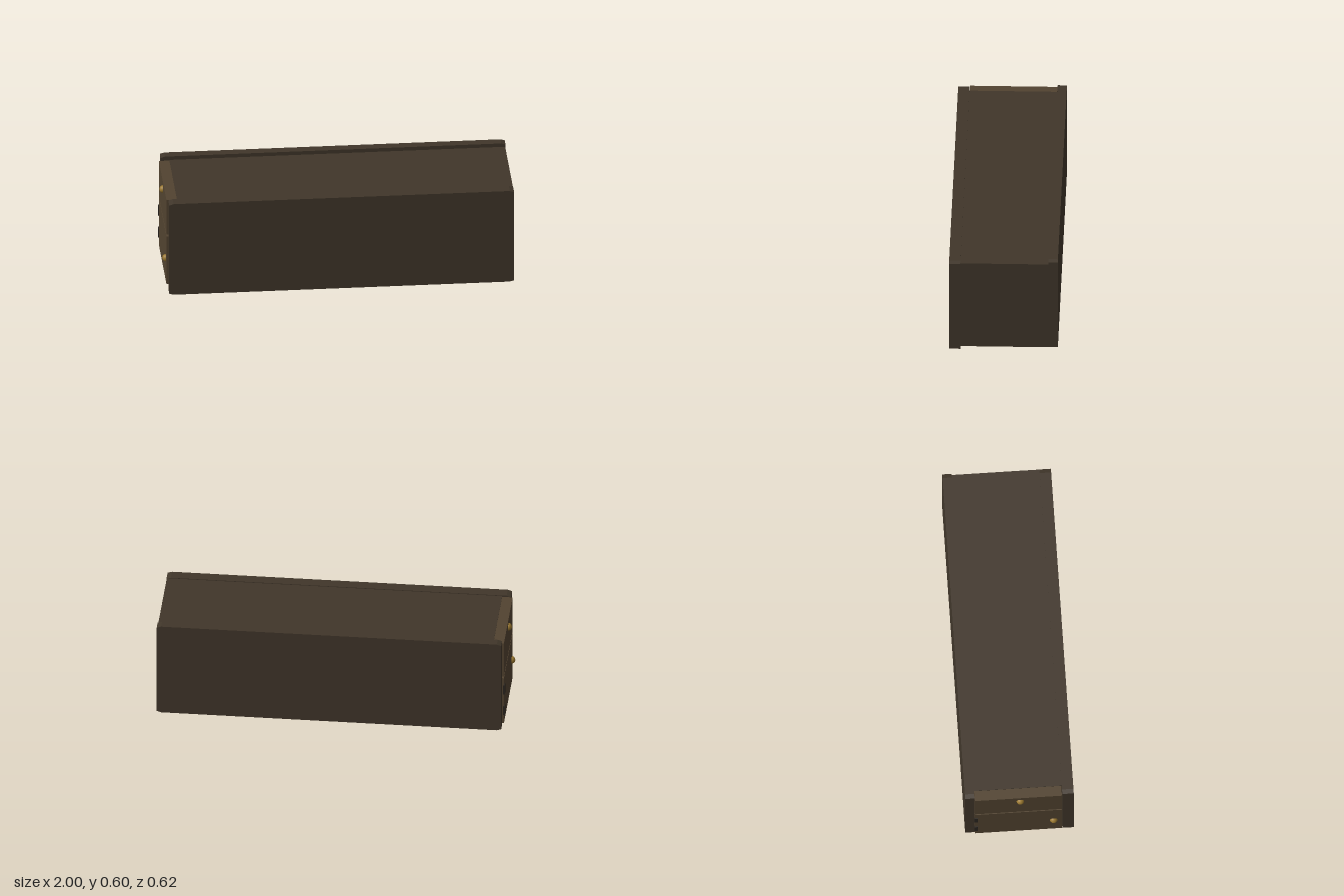
import * as THREE from 'three';

const mat = (color) => new THREE.MeshStandardMaterial({ color });

export function createModel() {
  const root = new THREE.Group();
  root.name = 'cabinet';
  const wood = mat(0x40362a), lightWood = mat(0x524330), brass = mat(0x9a7830), iron = mat(0x2a2520);

  const add = (name, geometry, material) => {
    const mesh = new THREE.Mesh(geometry, material);
    mesh.name = name;
    root.add(mesh);
    return mesh;
  };
  // Box given by its minimum and maximum corners
  const box = (name, material, [x0, y0, z0], [x1, y1, z1]) => {
    add(name, new THREE.BoxGeometry(x1 - x0, y1 - y0, z1 - z0), material)
      .position.set((x0 + x1) / 2, (y0 + y1) / 2, (z0 + z1) / 2);
  };
  // Long panel with clipped corners
  const panel = (name, y0, y1, z0, z1) => {
    const x0 = -0.97, x1 = 1, cx = 0.025, cy = 0.008;
    const outline = new THREE.Shape([
      [x0 + cx, y0], [x1 - cx, y0], [x1, y0 + cy], [x1, y1 - cy],
      [x1 - cx, y1], [x0 + cx, y1], [x0, y1 - cy], [x0, y0 + cy],
    ].map(([x, y]) => new THREE.Vector2(x, y)));
    add(name, new THREE.ExtrudeGeometry(outline, { depth: z1 - z0, bevelEnabled: false }), wood).position.z = z0;
  };

  // Carcass and its two long panels
  box('body', wood, [-0.92, 0.025, -0.257], [0.998, 0.573, 0.246]);
  panel('frontPanel', 0, 0.577, 0.245, 0.31);
  panel('backPanel', 0.02, 0.595, -0.31, -0.257);

  // Drawer above door on the left-hand end
  box('drawerFront', lightWood, [-0.98, 0.35, -0.255], [-0.92, 0.57, 0.242]);
  box('door', lightWood, [-0.98, 0.035, -0.255], [-0.92, 0.337, 0.242]);

  // Knobs
  for (const [name, y, z] of [['drawerKnob', 0.522, 0.005], ['doorKnob', 0.18, 0.195]]) {
    add(name, new THREE.SphereGeometry(0.022, 20, 14), brass).position.set(-0.978, y, z);
  }

  // Door hinges
  for (const y of [0.12, 0.26]) {
    box('hinge', iron, [-0.986, y - 0.03, -0.257], [-0.976, y + 0.03, -0.237]);
  }
  return root;
}
